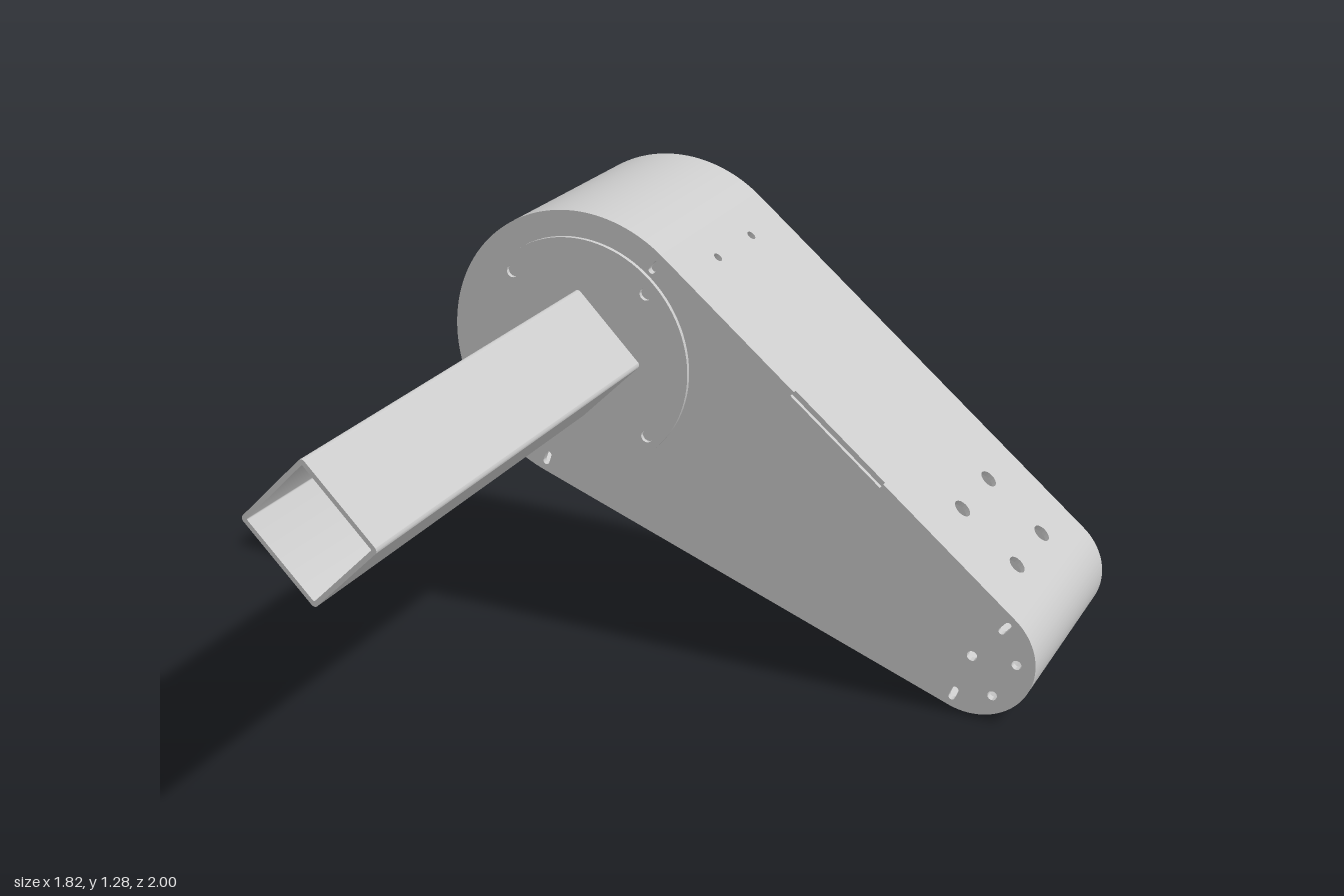
import * as THREE from 'three';
import { toCreasedNormals } from 'three/addons/utils/BufferGeometryUtils.js';

// Housing: two round ends joined by tangent sheets
const A = new THREE.Vector2(-0.495, 0.865), RA = 0.42;
const B = new THREE.Vector2(0.725, 0.184), RB = 0.182;
const FRONT = -0.3, BACK = -0.93, WALL = 0.016, PLATE = 0.02;
const axis = B.clone().sub(A);
const phi = axis.angle() - Math.PI * 2;
const beta = Math.acos((RA - RB) / axis.length());
const TOP = phi + beta, BOTTOM = phi - beta;
const FLAT = Math.sqrt(axis.lengthSq() - (RA - RB) ** 2);

const material = new THREE.MeshStandardMaterial({ color: 0xcccccc });

function add(parent, name, geometry) {
  const mesh = new THREE.Mesh(geometry, material);
  mesh.name = name;
  parent.add(mesh);
  return mesh;
}

function extrude(shape, depth, z = 0) {
  const g = new THREE.ExtrudeGeometry(shape, { depth, bevelEnabled: false, curveSegments: 48 });
  g.translate(0, 0, z);
  return toCreasedNormals(g, 0.5);
}

function polar(c, r, angle) {
  return new THREE.Vector2(c.x + r * Math.cos(angle), c.y + r * Math.sin(angle));
}

// Round hole, or a slot when two end points are given
function hole(p, r, q = p) {
  const path = new THREE.Path();
  if (p === q) return path.absarc(p.x, p.y, r, 0, Math.PI * 2, false);
  const a = Math.atan2(q.y - p.y, q.x - p.x) + Math.PI / 2;
  path.absarc(p.x, p.y, r, a, a + Math.PI, false);
  path.absarc(q.x, q.y, r, a + Math.PI, a + Math.PI * 2, false);
  path.closePath();
  return path;
}

// Teardrop cover plate with its rim notches and small screw holes
function coverShape() {
  const s = new THREE.Shape();
  s.absarc(A.x, A.y, RA - WALL, TOP, BOTTOM + Math.PI * 2, false);
  s.absarc(B.x, B.y, RB - WALL, BOTTOM, TOP, false);
  s.closePath();
  for (const [c, r] of [[A, RA], [B, RB]])
    for (const a of [TOP, BOTTOM])
      s.holes.push(hole(polar(c, r - 0.055, a), 0.01, polar(c, r - 0.03, a)));
  s.holes.push(hole(B, 0.015));
  for (const a of [0.03, -1.03]) s.holes.push(hole(polar(B, 0.128, a), 0.014));
  return s;
}

// Curved end wall
function endWall(c, r, from, to) {
  const s = new THREE.Shape();
  s.absarc(c.x, c.y, r, from, to, false);
  s.absarc(c.x, c.y, r - WALL, to, from, true);
  s.closePath();
  return extrude(s, FRONT - BACK, BACK);
}

// Flat side sheet: length along x, model z along y
function sideSheet(notched) {
  const s = new THREE.Shape();
  s.moveTo(0, BACK);
  s.lineTo(FLAT, BACK);
  s.lineTo(FLAT, FRONT);
  if (notched) {
    s.lineTo(0.865, FRONT);
    s.lineTo(0.865, FRONT - 0.012);
    s.lineTo(0.515, FRONT - 0.012);
    s.lineTo(0.515, FRONT);
  }
  s.lineTo(0, FRONT);
  s.closePath();
  for (const z of [-0.73, -0.51])
    for (const [x, r] of [[0.085, 0.014], [1.07, 0.027], [1.288, 0.027]])
      s.holes.push(hole(new THREE.Vector2(x, z), r));
  return extrude(s, WALL);
}

function placeSheet(geometry, angle, side) {
  const n = new THREE.Vector3(Math.cos(angle), Math.sin(angle), 0);
  const e = new THREE.Vector3(side * n.y, -side * n.x, 0);
  const p = polar(A, side > 0 ? RA : RA - WALL, angle);
  const m = new THREE.Matrix4().makeBasis(e, new THREE.Vector3(0, 0, 1), n.clone().multiplyScalar(-side));
  m.setPosition(p.x, p.y, 0);
  return geometry.applyMatrix4(m);
}

// Square outline with rounded corners
function roundedSquare(target, h, r) {
  const k = h - r;
  [[k, k], [-k, k], [-k, -k], [k, -k]].forEach(([x, y], i) =>
    target.absarc(x, y, r, i * Math.PI / 2, (i + 1) * Math.PI / 2, false));
  target.closePath();
  return target;
}

export function createModel() {
  const model = new THREE.Group();
  model.name = 'crankArmHousing';

  // Housing walls
  const housing = new THREE.Group();
  housing.name = 'housing';
  model.add(housing);
  add(housing, 'largeEndWall', endWall(A, RA, TOP, BOTTOM + Math.PI * 2));
  add(housing, 'smallEndWall', endWall(B, RB, BOTTOM, TOP));
  add(housing, 'upperSheet', placeSheet(sideSheet(true), TOP, 1));
  add(housing, 'lowerSheet', placeSheet(sideSheet(false), BOTTOM, -1));

  // Cover plates
  add(housing, 'frontPlate', extrude(coverShape(), PLATE, FRONT - PLATE));
  const back = coverShape();
  const shaft = new THREE.Vector2(0.53, 0.22);
  back.holes.push(hole(shaft, 0.08, new THREE.Vector2(0.605, 0.325)));
  back.holes.push(hole(new THREE.Vector2(-0.235, 0.725), 0.042));
  for (let i = 0; i < 24; i++) {
    // Ring of holes with a gap at each diagonal
    if (i % 6 !== 3) back.holes.push(hole(polar(A, 0.22, i * Math.PI / 12), 0.016));
  }
  add(housing, 'backPlate', extrude(back, PLATE, BACK));

  // Round flange with four screw holes
  const disc = new THREE.Shape().absarc(A.x, A.y, 0.345, 0, Math.PI * 2, false);
  for (let i = 0; i < 4; i++)
    disc.holes.push(hole(polar(A, 0.304, Math.PI / 4 + i * Math.PI / 2), 0.018));
  add(model, 'flange', extrude(disc, 0.012, FRONT));

  // Hollow square tube standing on its corner
  const square = roundedSquare(new THREE.Shape(), 0.14, 0.012);
  square.holes.push(roundedSquare(new THREE.Path(), 0.127, 0.004));
  const tube = add(model, 'squareTube', extrude(square, 1.29, -0.29));
  tube.position.set(A.x, A.y, 0);
  tube.rotation.z = Math.PI / 4;

  // Output shaft through the back slot
  const rod = new THREE.CylinderGeometry(0.07, 0.07, 0.5, 48).rotateX(Math.PI / 2);
  add(model, 'outputShaft', rod).position.set(shaft.x, shaft.y, -0.75);

  return model;
}
